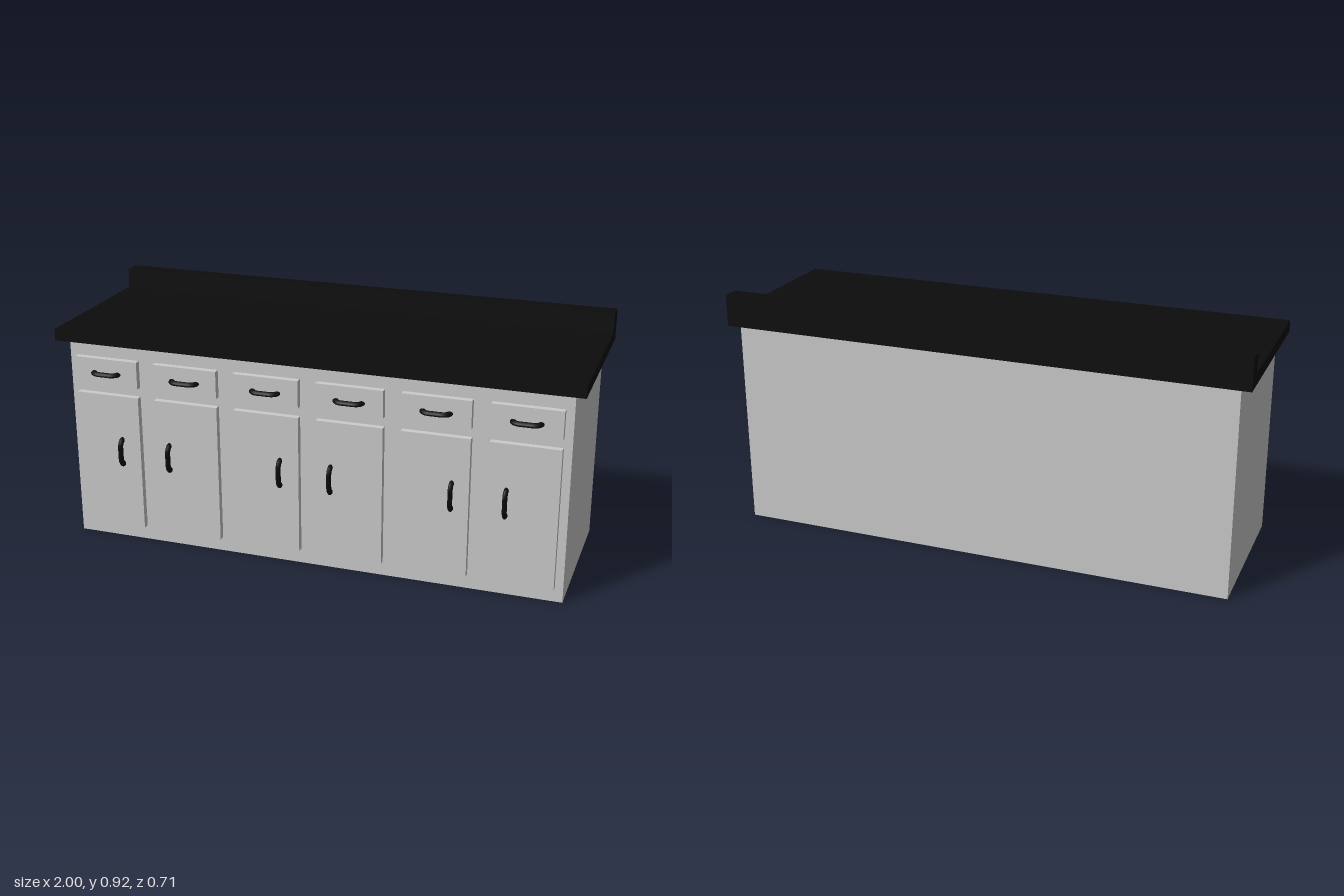
import * as THREE from 'three';

const grey = new THREE.MeshStandardMaterial({ color: 0xcccccc });
const black = new THREE.MeshStandardMaterial({ color: 0x0c0c0c });

// Box given by its minimum and maximum corners
function box(name, min, max, material) {
  const size = max.map((v, i) => v - min[i]);
  const mesh = new THREE.Mesh(new THREE.BoxGeometry(...size), material);
  mesh.position.set(...max.map((v, i) => (v + min[i]) / 2));
  mesh.name = name;
  return mesh;
}

// Upright bowed pull handle, its feet sunk slightly into the panel at z = 0
function handleGeometry() {
  const path = new THREE.CatmullRomCurve3([
    [-0.049, -0.004], [-0.046, 0.008], [-0.032, 0.018], [0, 0.0195],
    [0.032, 0.018], [0.046, 0.008], [0.049, -0.004],
  ].map(([y, z]) => new THREE.Vector3(0, y, z)));
  return new THREE.TubeGeometry(path, 24, 0.012, 10).scale(0.75, 1, 1);
}

export function createModel() {
  const group = new THREE.Group();
  group.name = 'baseCabinet';
  const bodyFront = 0.298, panelFront = 0.322;

  // Carcass, worktop and upstand
  group.add(box('cabinetBody', [-0.96, 0, -0.328], [0.96, 0.797, bodyFront], grey));
  group.add(box('countertop', [-1, 0.797, -0.283], [1, 0.842, 0.338], black));
  group.add(box('backsplash', [-1, 0.797, -0.352], [1, 0.917, -0.283], black));

  // Six bays, each with a drawer above a door
  const pull = handleGeometry();
  const doorHandleX = [-0.75, -0.553, -0.106, 0.091, 0.545, 0.742];
  doorHandleX.forEach((handleX, i) => {
    const x = (i - 2.5) * 0.321, half = 0.127;
    group.add(box('drawerFront', [x - half, 0.631, bodyFront], [x + half, 0.737, panelFront], grey));
    group.add(box('door', [x - half, 0.057, bodyFront], [x + half, 0.595, panelFront], grey));

    const drawerHandle = new THREE.Mesh(pull, black);
    drawerHandle.name = 'drawerHandle';
    drawerHandle.rotation.z = Math.PI / 2;
    drawerHandle.position.set(x, 0.681, panelFront);

    const doorHandle = new THREE.Mesh(pull, black);
    doorHandle.name = 'doorHandle';
    doorHandle.position.set(handleX, 0.37, panelFront);
    group.add(drawerHandle, doorHandle);
  });
  return group;
}
